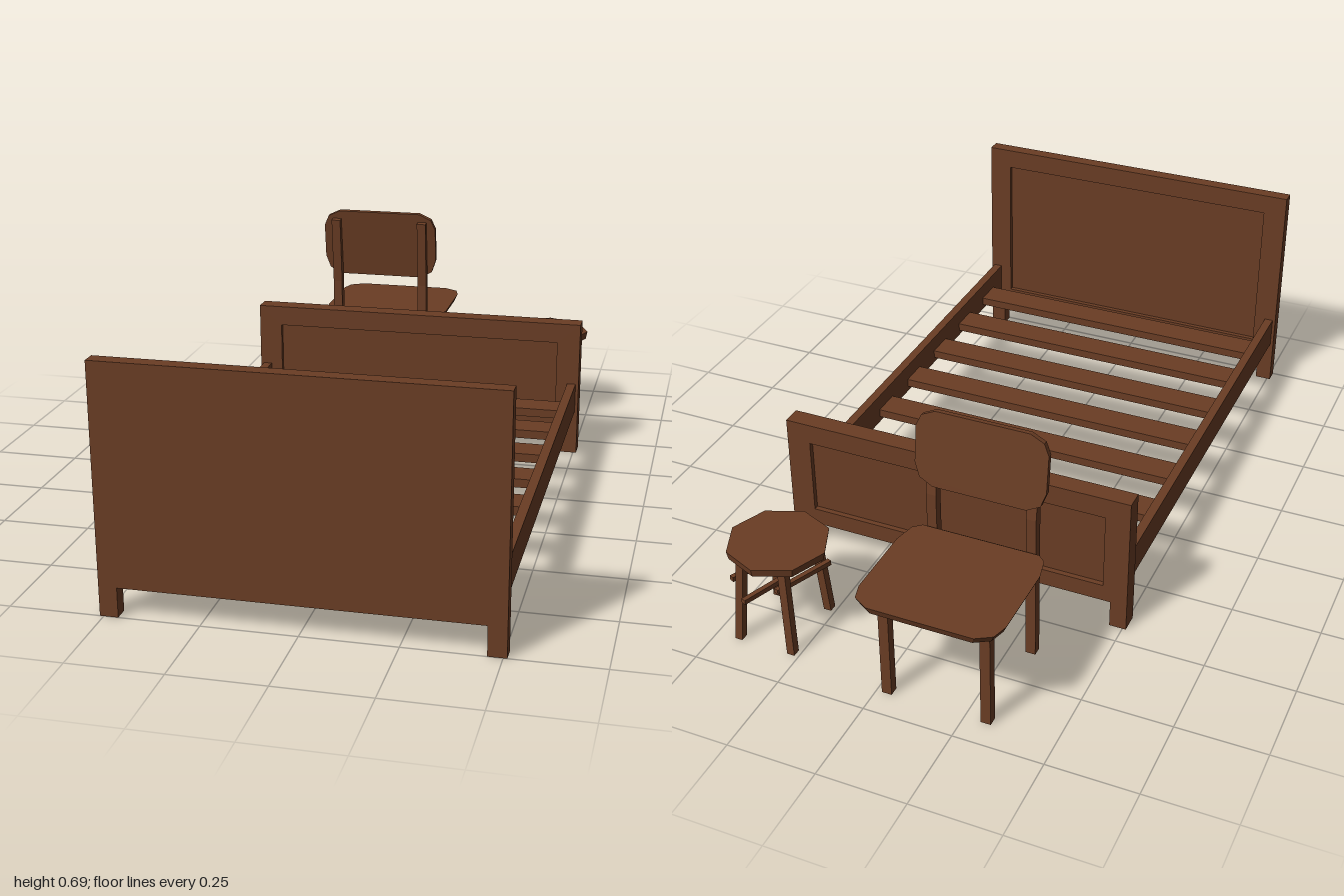
import * as THREE from 'three';

export function createModel() {
  const wood = new THREE.MeshStandardMaterial({ color: 0x6a3d24 });
  wood.name = 'brown wood';
  const model = new THREE.Group();
  model.name = 'bedroomFurniture';

  const add = (parent, name, geo) => {
    const mesh = new THREE.Mesh(geo, wood);
    mesh.name = name;
    parent.add(mesh);
    return mesh;
  };
  const group = (name) => {
    const g = new THREE.Group();
    g.name = name;
    model.add(g);
    return g;
  };
  // box given by its limits on each axis
  const box = (parent, name, x0, x1, y0, y1, z0, z1) => {
    const m = add(parent, name, new THREE.BoxGeometry(x1 - x0, y1 - y0, z1 - z0));
    m.position.set((x0 + x1) / 2, (y0 + y1) / 2, (z0 + z1) / 2);
    return m;
  };
  const shapeOf = (pts) => new THREE.Shape(pts.map(([x, y]) => new THREE.Vector2(x, y)));
  const plate = (shape, depth) =>
    new THREE.ExtrudeGeometry(shape, { depth, bevelEnabled: false });
  // square bar between two points
  const bar = (parent, name, a, b, w) => {
    const from = new THREE.Vector3(...a), to = new THREE.Vector3(...b);
    const m = add(parent, name, new THREE.BoxGeometry(w, w, from.distanceTo(to)));
    m.position.copy(from).add(to).multiplyScalar(0.5);
    m.lookAt(to);
    return m;
  };

  // ---- bed ----
  const bed = group('bed');
  const board = (height) => shapeOf([
    [-0.51, 0], [-0.462, 0], [-0.462, 0.08], [0.462, 0.08],
    [0.462, 0], [0.51, 0], [0.51, height], [-0.51, height],
  ]);
  const framed = (height, low) => {
    const s = board(height), x = 0.44, top = height - 0.06;
    s.holes.push(new THREE.Path([[-x, low], [-x, top], [x, top], [x, low]]
      .map(([px, py]) => new THREE.Vector2(px, py))));
    return s;
  };
  add(bed, 'headboardPanel', plate(board(0.665), 0.026)).position.z = 0.974;
  add(bed, 'headboardFrame', plate(framed(0.665, 0.14), 0.014)).position.z = 0.96;
  add(bed, 'footboardPanel', plate(board(0.415), 0.025)).position.z = -0.43;
  for (const z of [-0.445, -0.405]) {
    add(bed, 'footboardFrame', plate(framed(0.415, 0.13), 0.015)).position.z = z;
  }
  for (const s of [-1, 1]) {
    const x = s * 0.488;
    box(bed, 'sideRail', x - 0.013, x + 0.013, 0.135, 0.225, -0.39, 0.96);
  }
  for (let i = 0; i < 7; i++) {
    const z = -0.355 + i * 0.1925;
    box(bed, 'slat', -0.476, 0.476, 0.152, 0.177, z, z + 0.086);
  }

  // ---- chair, facing away from the bed ----
  const chair = group('chair');
  chair.position.x = -0.17;
  // seat with cut corners and a slightly tapered underside
  const seatPts = [
    [-0.145, -1], [0.145, -1], [0.187, -0.975], [0.2, -0.93], [0.2, -0.72],
    [0.187, -0.66], [0.165, -0.64], [-0.165, -0.64], [-0.187, -0.66],
    [-0.2, -0.72], [-0.2, -0.93], [-0.187, -0.975],
  ];
  const seatGeo = plate(shapeOf(seatPts.map(([x, z]) => [x, -z])), 0.022);
  seatGeo.rotateX(-Math.PI / 2);
  const p = seatGeo.attributes.position;
  for (let i = 0; i < p.count; i++) {
    if (p.getY(i) < 0.01) {
      p.setX(i, p.getX(i) * 0.95);
      p.setZ(i, -0.82 + (p.getZ(i) + 0.82) * 0.95);
    }
  }
  seatGeo.computeVertexNormals();
  add(chair, 'chairSeat', seatGeo).position.y = 0.317;

  // rear posts bend backwards above the seat
  const postShape = shapeOf([
    [0.609, 0], [0.636, 0], [0.636, 0.44], [0.608, 0.66], [0.589, 0.657], [0.609, 0.45],
  ]);
  for (const s of [-1, 1]) {
    const x = s * 0.14;
    const post = add(chair, 'chairBackPost', plate(postShape, 0.028));
    post.rotation.y = Math.PI / 2;
    post.position.x = x - 0.014;
    box(chair, 'chairFrontLeg', x - 0.014, x + 0.014, 0, 0.318, -0.926, -0.899);
    box(chair, 'chairSideApron', x - 0.009, x + 0.009, 0.285, 0.318, -0.9, -0.635);
  }
  box(chair, 'chairFrontApron', -0.13, 0.13, 0.285, 0.318, -0.922, -0.904);
  box(chair, 'chairRearApron', -0.13, 0.13, 0.285, 0.318, -0.632, -0.614);

  // leaning backrest with cut corners
  const restPts = [
    [-0.13, 0], [0.13, 0], [0.168, 0.02], [0.182, 0.06], [0.182, 0.165], [0.168, 0.197],
    [0.13, 0.215], [-0.13, 0.215], [-0.168, 0.197], [-0.182, 0.165], [-0.182, 0.06],
    [-0.168, 0.02],
  ];
  const rest = add(chair, 'chairBackrest', plate(shapeOf(restPts), 0.015));
  rest.position.set(0, 0.474, -0.646);
  rest.rotation.x = 0.13;

  // ---- stool ----
  const stool = group('stool');
  stool.position.set(0.353, 0, -0.78);
  const top = add(stool, 'stoolSeat',
    new THREE.CylinderGeometry(0.14, 0.135, 0.024, 8).toNonIndexed());
  top.geometry.computeVertexNormals();
  top.position.y = 0.267;
  // splayed legs and their stretchers
  const legAt = (sx, sz, y) => {
    const t = 1 - y / 0.26;
    return [sx * (0.062 + 0.018 * t), y, sz * (0.085 + 0.016 * t)];
  };
  for (const a of [-1, 1]) {
    for (const b of [-1, 1]) {
      const leg = add(stool, 'stoolLeg', new THREE.BoxGeometry(0.022, 0.26, 0.024));
      const q = leg.geometry.attributes.position;
      for (let i = 0; i < q.count; i++) {
        const y = q.getY(i) + 0.13;
        const c = legAt(a, b, y);
        q.setXYZ(i, q.getX(i) + c[0], y, q.getZ(i) + c[2]);
      }
      leg.geometry.computeVertexNormals();
    }
    bar(stool, 'stoolSideStretcher', legAt(a, -1, 0.178), legAt(a, 1, 0.178), 0.014);
    bar(stool, 'stoolCrossStretcher', legAt(-1, a, 0.178), legAt(1, a, 0.178), 0.014);
  }
  return model;
}
